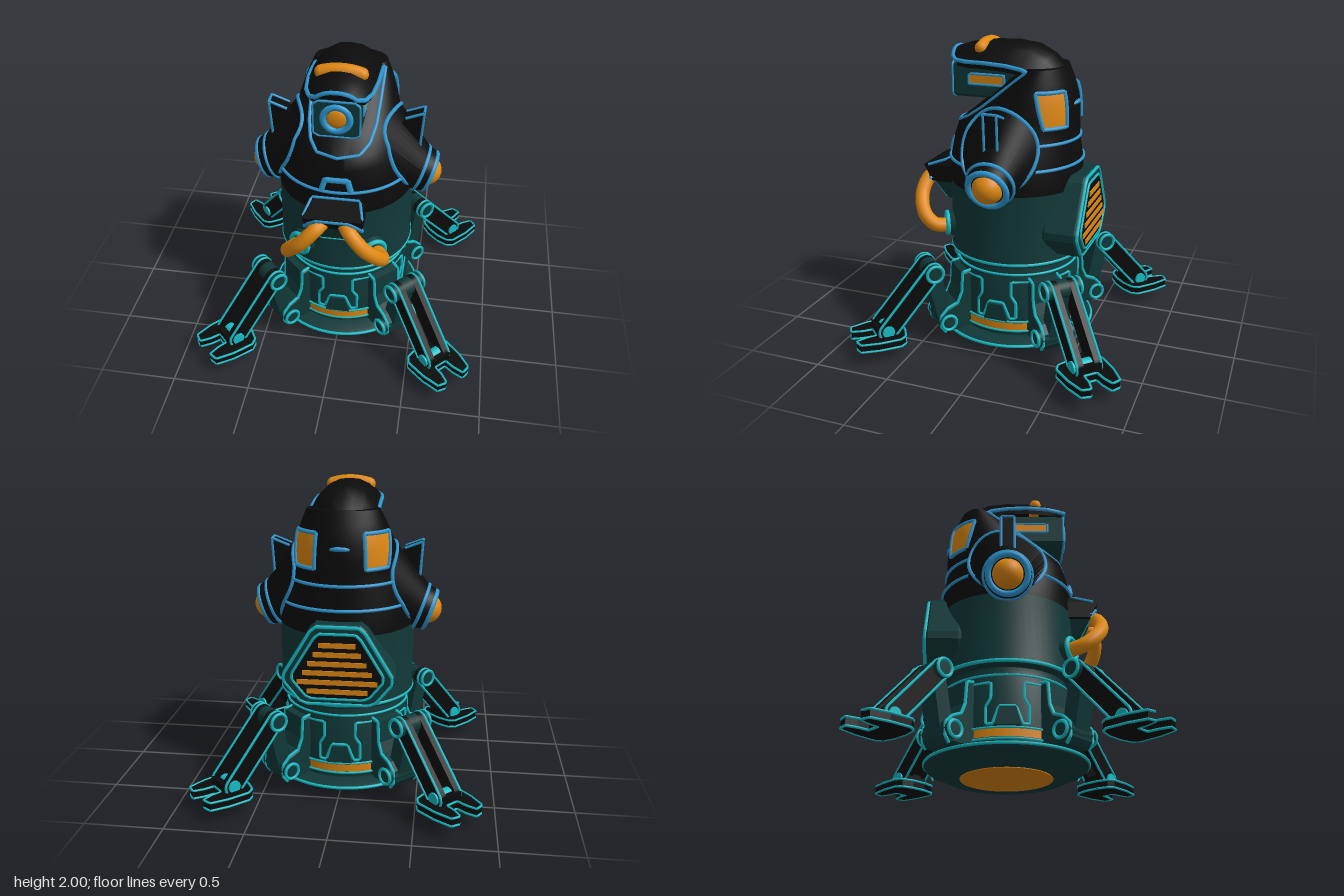
import * as THREE from 'three';
import { toCreasedNormals } from 'three/addons/utils/BufferGeometryUtils.js';

const V = (x, y, z) => new THREE.Vector3(x, y, z);
const paint = (name, color) => new THREE.MeshStandardMaterial({ name, color, side: THREE.DoubleSide });

// Shell sections: y, half width, front z, back z
const SECTIONS = [
  [1.08, 0.44, 0.44, -0.44], [1.24, 0.44, 0.435, -0.43], [1.38, 0.39, 0.41, -0.41], [1.46, 0.36, 0.385, -0.41],
  [1.55, 0.335, 0.27, -0.41], [1.65, 0.305, 0.15, -0.4], [1.75, 0.27, 0.04, -0.37], [1.84, 0.23, -0.07, -0.33],
];
function section(y) {
  let i = 0;
  while (i < SECTIONS.length - 2 && y > SECTIONS[i + 1][0]) i++;
  const a = SECTIONS[i], b = SECTIONS[i + 1], t = (y - a[0]) / (b[0] - a[0]);
  const [w, f, k] = [1, 2, 3].map(n => a[n] + (b[n] - a[n]) * t);
  return { w, c: (f + k) / 2, d: (f - k) / 2 };
}
// Point on the shell; angle 0 is +x and 90 is +z
function shellAt(deg, y, off = 0) {
  const s = section(y), a = deg * Math.PI / 180;
  return V((s.w + off) * Math.cos(a), y, s.c + (s.d + off) * Math.sin(a));
}
const shellFront = (x, y) => {
  const s = section(y);
  return shellAt(Math.acos(THREE.MathUtils.clamp(x / s.w, -1, 1)) * 180 / Math.PI, y, 0.004);
};

// Skin closed rings of points, with capped ends
function loft(rings, crease = 0.6) {
  const n = rings[0].length, m = rings.length, idx = [];
  for (let i = 0; i < m - 1; i++) for (let j = 0; j < n; j++) {
    const a = i * n + j, b = i * n + (j + 1) % n;
    idx.push(a, a + n, b, b, a + n, b + n);
  }
  for (let j = 1; j < n - 1; j++) idx.push(0, j, j + 1, (m - 1) * n, (m - 1) * n + j + 1, (m - 1) * n + j);
  const g = new THREE.BufferGeometry().setFromPoints(rings.flat());
  g.setIndex(idx);
  return toCreasedNormals(g, crease);
}
const poly = pts => new THREE.Shape(pts.map(p => new THREE.Vector2(p[0], p[1])));
function slab(shape, depth, bevel = 0) {
  const g = new THREE.ExtrudeGeometry(shape, { depth: depth - 2 * bevel, bevelEnabled: bevel > 0, bevelSize: bevel, bevelThickness: bevel, bevelOffset: -bevel, bevelSegments: 1, curveSegments: 8 });
  return g.translate(0, 0, bevel - depth / 2);
}
// Raised trim line through straight segments
function line(pts, r = 0.011, closed = false) {
  const p = closed ? [...pts, pts[0]] : pts, path = new THREE.CurvePath();
  for (let i = 0; i < p.length - 1; i++) if (p[i].distanceTo(p[i + 1]) > 1e-4) path.add(new THREE.LineCurve3(p[i], p[i + 1]));
  return new THREE.TubeGeometry(path, Math.max(24, p.length * 6), r, 6, false);
}
// Rounded bar outline between two pivots
function barShape(x0, y0, x1, y1, r) {
  const a = Math.atan2(y1 - y0, x1 - x0), s = new THREE.Shape();
  s.absarc(x1, y1, r, a - Math.PI / 2, a + Math.PI / 2, false);
  s.absarc(x0, y0, r, a + Math.PI / 2, a + Math.PI * 1.5, false);
  return s;
}
const ring = (r, y, t) => new THREE.TorusGeometry(r, t, 8, 64).rotateX(Math.PI / 2).translate(0, y, 0);
const mirrored = half => [...half, ...half.slice().reverse().filter(p => p[0] !== 0).map(p => [-p[0], p[1]])];

export function createModel() {
  const root = new THREE.Group();
  const teal = paint('dark teal', 0x113838), black = paint('black', 0x0b0b0b), cyan = paint('cyan trim', 0x16bcc6);
  const blue = paint('blue trim', 0x2d98d2), orange = paint('orange', 0xdf8812);
  const add = (parent, name, geo, mat) => {
    const m = new THREE.Mesh(geo, mat);
    m.name = name;
    parent.add(m);
    return m;
  };
  const group = (name, parent = root) => {
    const g = new THREE.Group();
    g.name = name;
    parent.add(g);
    return g;
  };

  // Base and trunk
  const profile = [[0, 0.004], [0.38, 0.004], [0.51, 0.065], [0.52, 0.085], [0.49, 0.1], [0.41, 0.11], [0.41, 0.5], [0.39, 0.56], [0.39, 0.595], [0.43, 0.6], [0.445, 0.62], [0.44, 0.65], [0.44, 1.08]];
  add(root, 'trunk', toCreasedNormals(new THREE.LatheGeometry(profile.map(p => new THREE.Vector2(...p)), 64), 0.5), teal);
  add(root, 'undersideDisc', new THREE.CylinderGeometry(0.29, 0.29, 0.008, 48).translate(0, 0.004, 0), orange);
  [[0.515, 0.083, 0.01], [0.405, 0.54, 0.008], [0.436, 0.622, 0.013]].forEach(r => add(root, 'trunkRing', ring(...r), cyan));

  // Base panels on four sides
  const panel = mirrored([[-0.25, 0.49], [-0.1, 0.49], [-0.1, 0.39], [-0.13, 0.34], [-0.13, 0.23], [-0.09, 0.23], [-0.05, 0.34]]);
  for (let k = 0; k < 4; k++) {
    const g = group('basePanel');
    g.rotation.y = k * Math.PI / 2;
    const drape = ([x, y]) => V(x, y, Math.sqrt(0.413 ** 2 - x * x));
    add(g, 'panelTrim', line(panel.map(drape), 0.01), cyan);
    add(g, 'handle', slab(poly([[-0.08, 0.22], [-0.05, 0.33], [0.05, 0.33], [0.08, 0.22]]), 0.04).translate(0, 0, 0.41), teal);
    add(g, 'lightStrip', new THREE.CylinderGeometry(0.418, 0.418, 0.05, 16, 1, true, -0.5, 1).translate(0, 0.175, 0), orange);
    const arc = Array.from({ length: 13 }, (_, i) => (i - 6) / 6 * 0.53);
    [0.14, 0.207].forEach(y => add(g, 'stripTrim', line(arc.map(a => V(0.415 * Math.sin(a), y, 0.415 * Math.cos(a))), 0.008), cyan));
  }

  // Four folding legs: x points outward, z is sideways
  const footHalf = [[0.84, 0.05], [0.86, 0.13], [0.9, 0.16], [1.04, 0.155], [1.157, 0.13], [1.17, 0.07], [1.1, 0.05], [1.03, 0.045]];
  const foot = [...footHalf, ...footHalf.slice().reverse().map(p => [p[0], -p[1]])];
  const mount = poly([[0.34, 0.09], [0.58, 0.09], [0.61, 0.13], [0.61, 0.21], [0.56, 0.26], [0.49, 0.29], [0.46, 0.36], [0.45, 0.5], [0.34, 0.52]]);
  for (let k = 0; k < 4; k++) {
    const g = group('leg');
    g.rotation.y = Math.PI / 4 + k * Math.PI / 2;
    add(g, 'legMount', slab(mount, 0.22, 0.015), teal);
    add(g, 'lowerLink', slab(barShape(0.56, 0.17, 0.64, 0.53, 0.05), 0.13), teal);
    const arm = barShape(0.64, 0.53, 0.96, 0.17, 0.06), edge = arm.getPoints(6);
    const disc = (x, y, r, h, m, n) => add(g, n, new THREE.CylinderGeometry(r, r, h, 20).rotateX(Math.PI / 2).translate(x, y, 0), m);
    disc(0.56, 0.17, 0.055, 0.27, teal, 'hipPivot');
    disc(0.64, 0.53, 0.06, 0.24, teal, 'elbowPivot');
    disc(0.96, 0.17, 0.04, 0.19, cyan, 'anklePivot');
    for (const s of [-1, 1]) {
      add(g, 'armPlate', slab(arm, 0.045).translate(0, 0, s * 0.06), black);
      add(g, 'armTrim', line(edge.map(p => V(p.x, p.y, s * 0.082)), 0.009, true), cyan);
      add(g, 'mountTrim', line(mount.getPoints().slice(1).map(p => V(p.x - 0.005, p.y, s * 0.1)), 0.011), cyan);
      add(g, 'hipRing', new THREE.TorusGeometry(0.05, 0.011, 6, 20).translate(0.56, 0.17, s * 0.135), cyan);
      add(g, 'elbowRing', new THREE.TorusGeometry(0.055, 0.011, 6, 20).translate(0.64, 0.53, s * 0.12), cyan);
    }
    add(g, 'foot', slab(poly(foot), 0.055).rotateX(Math.PI / 2).translate(0, 0.115, 0), black);
    [0.09, 0.141].forEach(y => add(g, 'footTrim', line(foot.map(p => V(p[0], y, p[1])), 0.008, true), cyan));
    add(g, 'ankleBlock', new THREE.BoxGeometry(0.16, 0.07, 0.16).translate(0.95, 0.16, 0), black);
  }

  // Upper shell
  const angles = Array.from({ length: 56 }, (_, i) => i * 360 / 56);
  add(root, 'upperShell', loft(SECTIONS.map(s => angles.map(a => shellAt(a, s[0])))), black);
  const sweep = (a, b, y) => Array.from({ length: 25 }, (_, i) => shellAt(a + (b - a) * i / 24, y, 0.004));
  add(root, 'frontBelt', line(sweep(32, 148, 1.24)), blue);
  [1.24, 1.39].forEach(y => add(root, 'backBelt', line(sweep(215, 325, y)), blue));
  const bib = mirrored([[-0.22, 1.82], [-0.215, 1.7], [-0.205, 1.58], [-0.18, 1.51], [-0.13, 1.47], [0, 1.46]]);
  add(root, 'bibTrim', line(bib.map(p => shellFront(...p))), blue);
  add(root, 'chestHandle', line(mirrored([[-0.09, 1.25], [-0.07, 1.32]]).map(p => shellFront(...p)), 0.02), blue);

  // Hood: an arched tongue running from the brow over the top and down the back
  const spine = [[0.41, 1.925, 0.12], [0.38, 1.935, 0.165], [0.3, 1.96, 0.195], [0.15, 1.982, 0.21], [0, 1.987, 0.212], [-0.14, 1.968, 0.212], [-0.25, 1.91, 0.212], [-0.33, 1.82, 0.205], [-0.38, 1.71, 0.17], [-0.405, 1.62, 0.1]];
  const us = [-1, -0.85, -0.6, -0.3, 0, 0.3, 0.6, 0.85, 1];
  const arches = spine.map(([z, y, w], i) => {
    const a = spine[Math.max(i - 1, 0)], b = spine[Math.min(i + 1, spine.length - 1)];
    const n = V(0, a[0] - b[0], b[1] - a[1]).normalize();
    const drop = 0.05 + 0.09 * Math.sin(Math.PI * i / 10);
    const at = (u, inset) => V(w * u * (1 - inset), y, z).addScaledVector(n, -drop * Math.abs(u) ** 2.5 - inset);
    return { outer: us.map(u => at(u, 0)), inner: us.map(u => at(u, 0.04)).reverse() };
  });
  add(root, 'hood', loft(arches.map(a => [...a.outer, ...a.inner]), 0.8), black);
  const rim = [...arches.map(a => a.outer[0]).reverse(), ...arches[0].outer.slice(1, -1), ...arches.map(a => a.outer[8]), ...arches[9].outer.slice(1, -1).reverse()];
  add(root, 'hoodRim', line(rim, 0.014, true), blue);
  const lampPath = new THREE.QuadraticBezierCurve3(V(-0.12, 1.945, 0.2), V(0, 1.982, 0.2), V(0.12, 1.945, 0.2));
  add(root, 'browLamp', new THREE.TubeGeometry(lampPath, 16, 0.042, 12), orange).position.y = -0.006;
  for (const s of [-1, 1]) add(root, 'browLampEnd', new THREE.SphereGeometry(0.042, 12, 8).translate(s * 0.12, 1.939, 0.2), orange);

  // Camera head
  const head = group('head');
  const headShape = poly([[-0.14, 1.64], [-0.11, 1.62], [0.11, 1.62], [0.14, 1.64], [0.14, 1.83], [0.11, 1.855], [-0.11, 1.855], [-0.14, 1.83]]);
  add(head, 'headBox', slab(headShape, 0.55).translate(0, 0, 0.12), teal);
  add(head, 'headTrim', line(headShape.getPoints().map(p => V(p.x, p.y, 0.392)), 0.007, true), blue);
  add(head, 'lensRing', new THREE.TorusGeometry(0.08, 0.022, 10, 36).translate(0, 1.74, 0.39), blue);
  add(head, 'lens', new THREE.SphereGeometry(0.06, 24, 12).scale(1, 1, 0.3).translate(0, 1.74, 0.392), orange);
  for (const s of [-1, 1]) {
    add(head, 'headLight', new THREE.BoxGeometry(0.008, 0.055, 0.23).translate(s * 0.141, 1.742, 0.16), orange);
    add(head, 'headLightTrim', line([[1.71, 0.28], [1.775, 0.28], [1.775, 0.04], [1.71, 0.04]].map(p => V(s * 0.142, p[0], p[1])), 0.009, true), blue);
  }

  // Mouthpiece
  const block = rows => loft(rows.map(([y, w, z]) => [V(w, y, 0.3), V(w, y, z), V(-w, y, z), V(-w, y, 0.3)]), 0.2);
  add(root, 'mouthLower', block([[0.9, 0.09, 0.47], [0.92, 0.1, 0.485], [1.04, 0.15, 0.545]]), teal);
  add(root, 'mouthUpper', block([[1.04, 0.18, 0.545], [1.15, 0.18, 0.6], [1.195, 0.15, 0.44]]), black);
  add(root, 'mouthTrim', line([V(-0.18, 1.05, 0.55), V(-0.15, 1.09, 0.57), V(-0.1, 1.13, 0.59), V(0.1, 1.13, 0.59), V(0.15, 1.09, 0.57), V(0.18, 1.05, 0.55)], 0.014), blue);
  add(root, 'mouthTopTrim', line([V(-0.18, 1.15, 0.57), V(-0.15, 1.195, 0.44), V(0.15, 1.195, 0.44), V(0.18, 1.15, 0.57)], 0.01), blue);
  add(root, 'chinTrim', line([V(-0.14, 1.03, 0.543), V(-0.09, 0.905, 0.475), V(0.09, 0.905, 0.475), V(0.14, 1.03, 0.543)], 0.006), cyan);

  // Mirrored hoses, shoulders and back windows
  for (const s of [1, -1]) {
    const g = group(s > 0 ? 'leftSide' : 'rightSide');
    g.scale.x = s;
    const hose = new THREE.CatmullRomCurve3([V(0.07, 1.07, 0.53), V(0.11, 1.05, 0.59), V(0.2, 0.95, 0.61), V(0.29, 0.84, 0.55), V(0.3, 0.78, 0.47), V(0.22, 0.77, 0.36)]);
    add(g, 'hose', new THREE.TubeGeometry(hose, 40, 0.047, 14), orange);
    const socket = group('hoseSocket', g);
    socket.position.set(0.225, 0.78, 0.375);
    socket.rotation.y = Math.atan2(0.225, 0.375);
    add(socket, 'socketBody', new THREE.CylinderGeometry(0.075, 0.09, 0.05, 24).rotateX(Math.PI / 2).translate(0, 0, 0.015), teal);
    add(socket, 'socketRing', new THREE.TorusGeometry(0.07, 0.016, 8, 28).translate(0, 0, 0.04), cyan);

    // Shoulder pod from an oval on the shell out to a tilted disc
    const tilt = -0.35, cx = 0.485, cy = 1.175, oval = [], disc = [];
    for (let i = 0; i < 40; i++) {
      const a = i / 40 * Math.PI * 2, z = 0.25 * Math.cos(a), y = 1.35 + 0.255 * Math.sin(a);
      const q = section(y), x = q.w * Math.sqrt(Math.max(0.1, 1 - ((z - q.c) / q.d) ** 2));
      oval.push(V(x + 0.006, y, z));
      const v = 0.155 * Math.sin(a);
      disc.push(V(cx - v * Math.sin(tilt), cy + v * Math.cos(tilt), 0.155 * Math.cos(a)));
    }
    add(g, 'shoulderPod', loft([oval, disc]), black);
    add(g, 'shoulderTrim', line(oval, 0.013, true), blue);
    const cup = group('shoulderCup', g);
    cup.position.set(cx, cy, 0);
    cup.rotation.z = tilt;
    add(cup, 'cupBody', new THREE.CylinderGeometry(0.14, 0.155, 0.08, 36).rotateZ(-Math.PI / 2).translate(0.02, 0, 0), black);
    [[0.15, 0, 0.014], [0.125, 0.06, 0.02]].forEach(([r, x, t]) => add(cup, 'cupRing', new THREE.TorusGeometry(r, t, 8, 40).rotateY(Math.PI / 2).translate(x, 0, 0), blue));
    add(cup, 'shoulderLamp', new THREE.SphereGeometry(0.1, 28, 18).translate(0.04, 0, 0), orange);
    const fin = poly([[0.3, 1.42], [0.375, 1.565], [0.49, 1.61], [0.475, 1.37]]);
    add(g, 'shoulderFin', slab(fin, 0.085), black);
    for (const z of [-0.043, 0.043]) add(g, 'finTrim', line(fin.getPoints().slice(1).map(p => V(p.x, p.y, z)), 0.009), blue);
    add(g, 'finEdge', line([V(0.49, 1.61, -0.043), V(0.49, 1.61, 0.043)], 0.009), blue);

    // Curved window on the rear quarter
    const win = (u, v, off) => shellAt(-THREE.MathUtils.lerp(38 - 22 * v, 64 - 4 * v, u), 1.49 + 0.22 * v, off);
    const grid = new THREE.PlaneGeometry(1, 1, 8, 6), p = grid.attributes.position;
    for (let i = 0; i < p.count; i++) p.setXYZ(i, ...win(p.getX(i) + 0.5, p.getY(i) + 0.5, 0.01).toArray());
    grid.computeVertexNormals();
    add(g, 'rearWindow', grid, orange);
    const steps = [0, 0.2, 0.4, 0.6, 0.8];
    const frame = [...steps.map(t => [t, 0]), ...steps.map(t => [1, t]), ...steps.map(t => [1 - t, 1]), ...steps.map(t => [0, 1 - t])];
    add(g, 'windowFrame', line(frame.map(([u, v]) => win(u, v, 0.01)), 0.013, true), blue);
  }

  // Back pack with grille
  const pack = group('backPack');
  const packHalf = [[0.2, 0.65], [0.25, 0.67], [0.355, 0.8], [0.355, 0.85], [0.18, 1.14], [0.14, 1.175]];
  const outline = k => mirrored(packHalf.map(([x, y]) => [x * k, 0.9 + (y - 0.9) * k]));
  add(pack, 'packBody', slab(poly(outline(1)), 0.24, 0.025).translate(0, 0, -0.4), teal);
  add(pack, 'packTrim', line(outline(0.95).map(q => V(q[0], q[1], -0.513)), 0.012, true), cyan);
  add(pack, 'grillePlate', slab(poly(outline(0.8)), 0.008).translate(0, 0, -0.523), black);
  add(pack, 'grilleTrim', line(outline(0.8).map(q => V(q[0], q[1], -0.522)), 0.01, true), cyan);
  for (let i = 0; i < 6; i++) {
    const y = 0.75 + i * 0.06, w = i === 0 ? 0.19 : 0.285 - i * 0.034;
    add(pack, 'grilleBar', new THREE.BoxGeometry(w * 2, 0.032, 0.008).translate(0, y, -0.529), orange);
  }
  return root;
}
